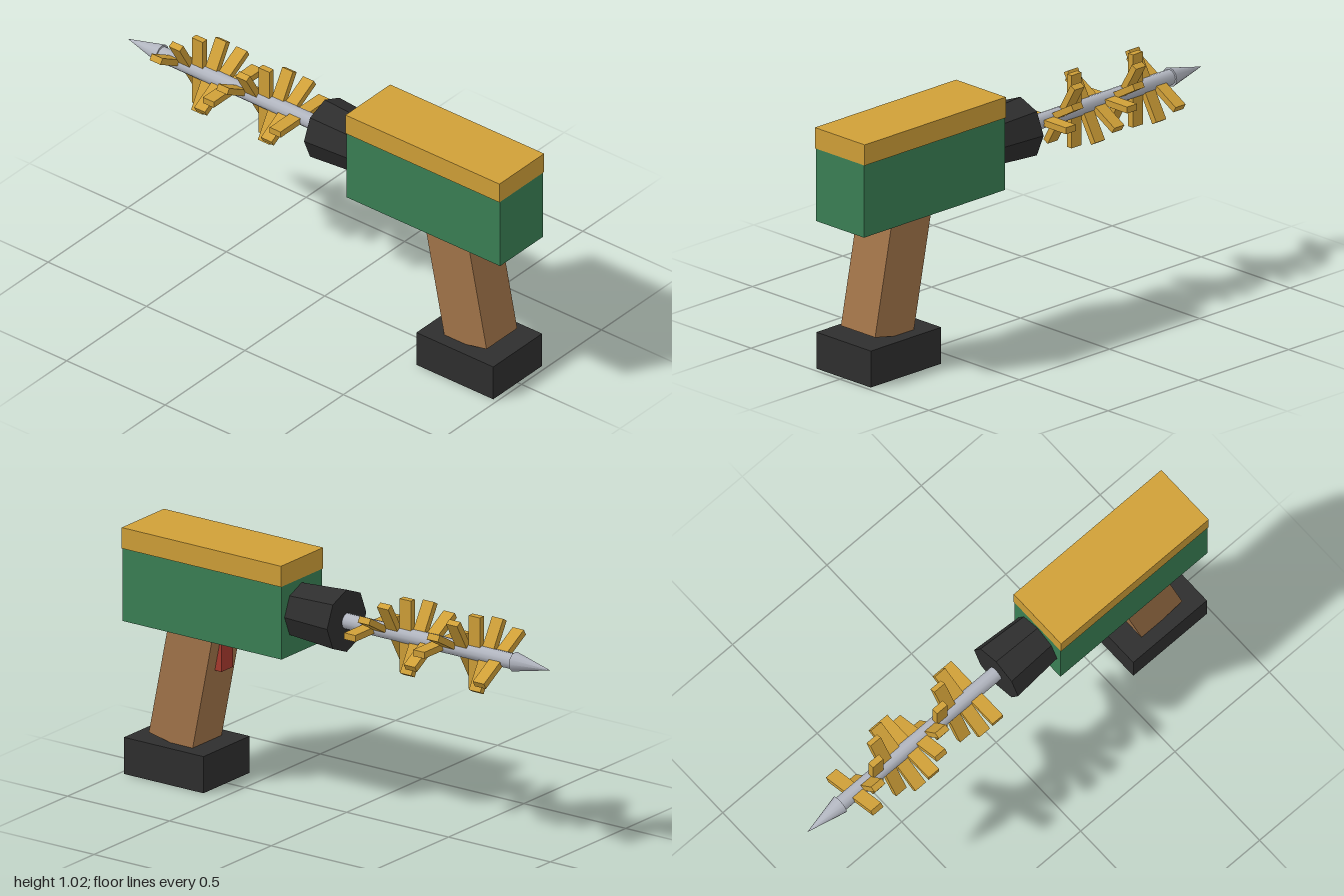
import * as THREE from 'three';

const mat = (name, color) => {
  const m = new THREE.MeshStandardMaterial({ color });
  m.name = name;
  return m;
};

export function createModel() {
  const green = mat('green', 0x3a8055);
  const gold = mat('gold', 0xd0a038);
  const brown = mat('brown', 0xa3754a);
  const black = mat('black', 0x2e2e2e);
  const steel = mat('steel', 0xb2b6c0);
  const red = mat('red', 0xa83a2e);
  black.flatShading = true;

  const model = new THREE.Group();
  model.name = 'drill';
  const AXIS = 0.8; // height of the drill axis

  const add = (name, geometry, material, x, y, z) => {
    const mesh = new THREE.Mesh(geometry, material);
    mesh.name = name;
    mesh.position.set(x, y, z);
    model.add(mesh);
    return mesh;
  };
  const box = (name, w, h, d, material, x, y, z) =>
    add(name, new THREE.BoxGeometry(w, h, d), material, x, y, z);
  // Round part along z, from the rear end (z0) to the tip end (z1)
  const round = (name, rRear, rTip, z0, z1, sides, material) => {
    const g = new THREE.CylinderGeometry(rTip, rRear, z0 - z1, sides);
    g.rotateX(-Math.PI / 2);
    return add(name, g, material, 0, AXIS, (z0 + z1) / 2);
  };

  // Housing and its cap
  box('housing', 0.27, 0.31, 0.78, green, 0, 0.785, 0.61);
  box('topCap', 0.28, 0.087, 0.782, gold, 0, 0.978, 0.61);

  // Tilted grip, trigger and battery foot
  box('grip', 0.192, 0.52, 0.215, brown, 0, 0.408, 0.743).rotation.x = -0.2;
  box('trigger', 0.075, 0.13, 0.06, red, 0, 0.54, 0.617);
  box('battery', 0.306, 0.153, 0.39, black, 0, 0.0765, 0.785);

  // Chuck, shaft and pointed tip
  round('chuck', 0.115, 0.13, 0.22, 0, 8, black);
  round('shaft', 0.032, 0.032, 0.02, -0.83, 12, steel);
  round('tip', 0.04, 0, -0.826, -1, 12, steel);

  // Spiral of crossbars, each turned 30 degrees further
  const barGeometry = new THREE.BoxGeometry(0.306, 0.027, 0.055);
  for (let i = 0; i < 12; i++) {
    const bar = add('spiralBar' + (i + 1), barGeometry, gold, 0, AXIS, -0.128 - i * 0.0565);
    bar.rotation.z = (i * Math.PI) / 6;
  }
  return model;
}
